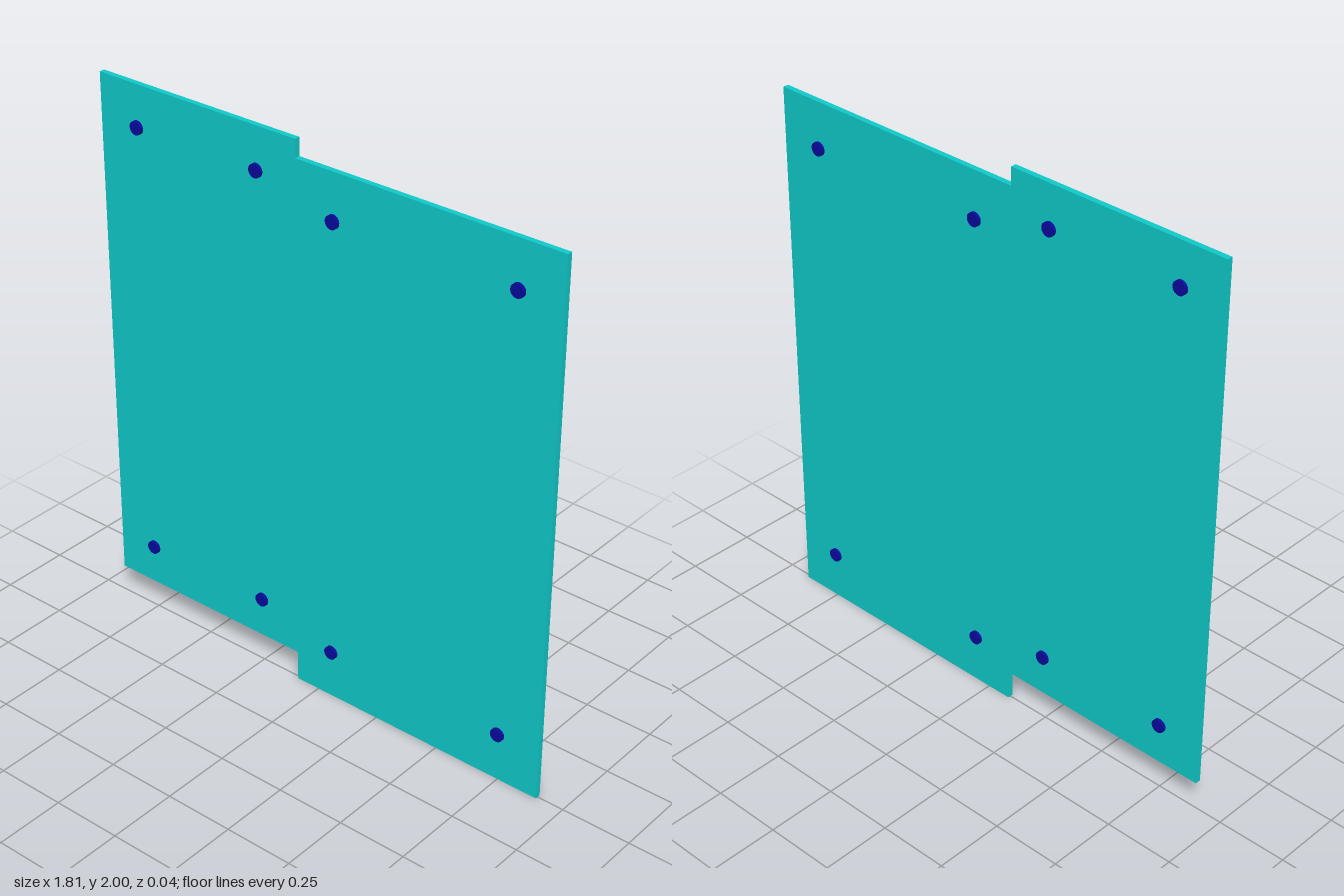
import * as THREE from 'three';

export function createModel() {
  const group = new THREE.Group();
  const plateMaterial = new THREE.MeshStandardMaterial({ color: 0x10cccc });
  const pinMaterial = new THREE.MeshStandardMaterial({ color: 0x0a0aa0 });

  // Thin plate made of two offset halves in one stepped outline
  const thickness = 0.02;
  const outline = new THREE.Shape([
    [-0.903, 0.11], [-0.09, 0.11], [-0.09, 0], [0.903, 0],
    [0.903, 1.937], [-0.09, 1.937], [-0.09, 2], [-0.903, 2],
  ].map(([x, y]) => new THREE.Vector2(x, y)));
  const plateGeometry = new THREE.ExtrudeGeometry(outline, { depth: thickness, bevelEnabled: false });
  plateGeometry.translate(0, 0, -thickness / 2);
  const plate = new THREE.Mesh(plateGeometry, plateMaterial);
  plate.name = 'plate';
  group.add(plate);

  // Round pins through the plate, four per half
  const pinGeometry = new THREE.CylinderGeometry(0.024, 0.024, 0.042, 32);
  pinGeometry.rotateX(Math.PI / 2);
  const pins = new THREE.Group();
  pins.name = 'pins';
  const halves = [
    { xs: [-0.746, -0.246], ys: [0.259, 1.852] },
    { xs: [0.058, 0.745], ys: [0.18, 1.773] },
  ];
  for (const { xs, ys } of halves) {
    for (const x of xs) {
      for (const y of ys) {
        const pin = new THREE.Mesh(pinGeometry, pinMaterial);
        pin.name = 'pin';
        pin.position.set(x, y, 0);
        pins.add(pin);
      }
    }
  }
  group.add(pins);
  return group;
}
